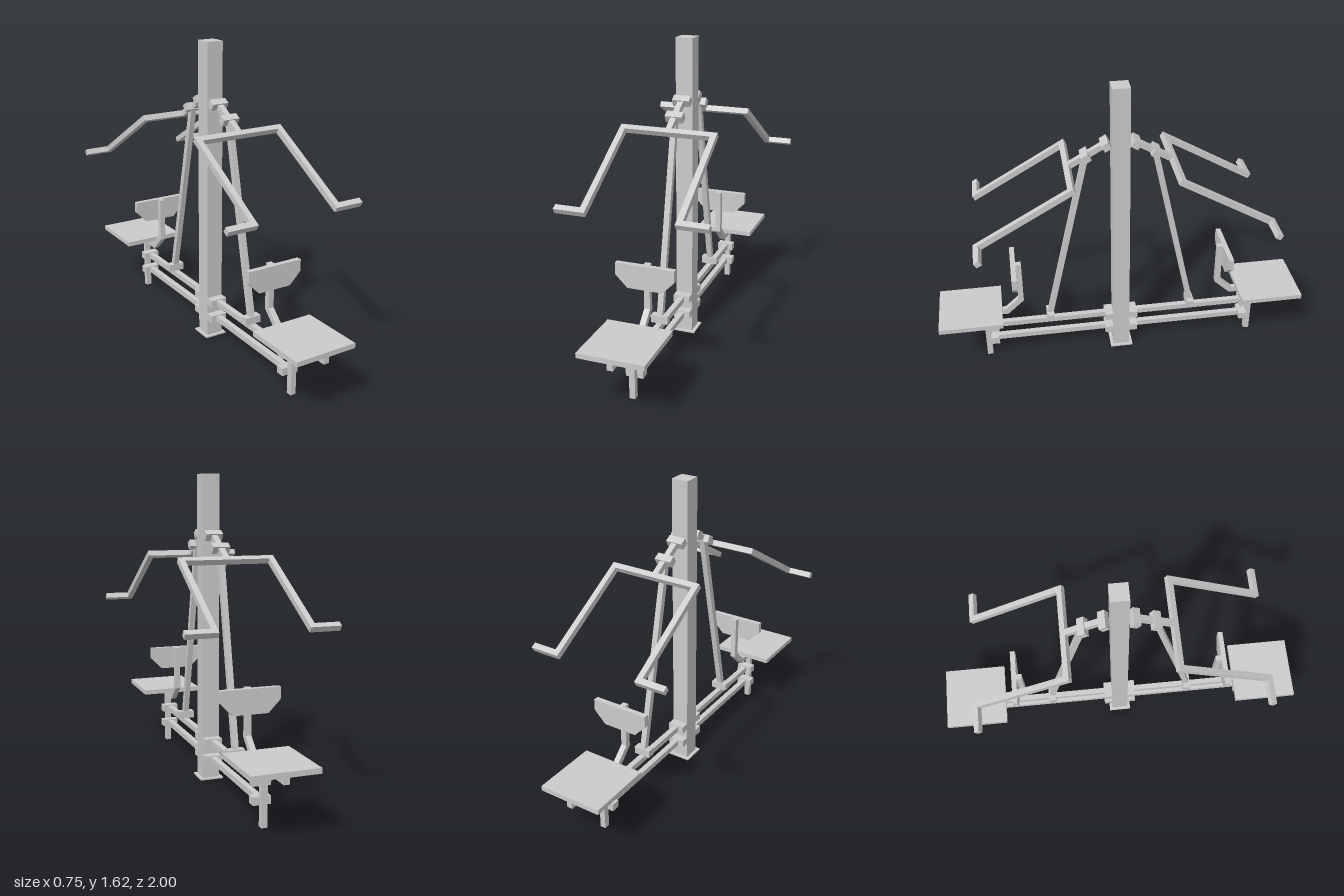
import * as THREE from 'three';

const material = new THREE.MeshStandardMaterial({ color: 0xcccccc, flatShading: true });
const TUBE = 0.03; // side of the square tubing

function add(parent, name, geometry) {
  const mesh = new THREE.Mesh(geometry, material);
  mesh.name = name;
  parent.add(mesh);
  return mesh;
}

// Box given by its extents along each axis
function box(parent, name, [x0, x1], [y0, y1], [z0, z1]) {
  const mesh = add(parent, name, new THREE.BoxGeometry(x1 - x0, y1 - y0, z1 - z0));
  mesh.position.set((x0 + x1) / 2, (y0 + y1) / 2, (z0 + z1) / 2);
  return mesh;
}

// Square tube running in the y-z plane between two [y, z] points
function rod(parent, name, [ya, za], [yb, zb], x = 0) {
  const dy = yb - ya, dz = zb - za;
  const mesh = add(parent, name, new THREE.BoxGeometry(TUBE, TUBE, Math.hypot(dy, dz)));
  mesh.position.set(x, (ya + yb) / 2, (za + zb) / 2);
  mesh.rotation.x = -Math.atan2(dy, dz);
  return mesh;
}

// Cross-wise block centred at [y, z], tilted about x
function block(parent, name, [y, z], tilt, x0, x1, size) {
  const mesh = add(parent, name, new THREE.BoxGeometry(x1 - x0, size, size));
  mesh.position.set((x0 + x1) / 2, y, z);
  mesh.rotation.x = tilt;
  return mesh;
}

function createStation() {
  const station = new THREE.Group();
  const half = TUBE / 2;

  // Two floor rails with brackets at both ends
  for (const y of [0.12, 0.212]) {
    rod(station, 'baseRail', [y, 0.045], [y, 0.737]);
    for (const z of [0.045, 0.69])
      box(station, 'railBracket', [-0.045, 0.045], [y - 0.02, y + 0.02], [z, z + 0.046]);
  }

  // Seat on its post
  box(station, 'seatPost', [-half, half], [0, 0.286], [0.735, 0.766]);
  box(station, 'seat', [-0.168, 0.168], [0.316, 0.342], [0.66, 1]);

  // Bent tube under the seat that rises to the backrest; shape x is z, shape y is y
  const frame = new THREE.Shape([
    [1, 0.285], [1, 0.316], [0.64, 0.316], [0.568, 0.383], [0.568, 0.615],
    [0.538, 0.615], [0.538, 0.37], [0.627, 0.285],
  ].map(([z, y]) => new THREE.Vector2(z, y)));
  const frameGeometry = new THREE.ExtrudeGeometry(frame, { depth: TUBE, bevelEnabled: false });
  frameGeometry.translate(0, 0, -half).rotateY(-Math.PI / 2);
  add(station, 'seatFrame', frameGeometry);

  // Backrest pad with clipped lower corners
  const pad = new THREE.Shape([
    [-0.09, 0.492], [0.09, 0.492], [0.152, 0.555], [0.152, 0.616], [-0.152, 0.616], [-0.152, 0.555],
  ].map(([x, y]) => new THREE.Vector2(x, y)));
  const padGeometry = new THREE.ExtrudeGeometry(pad, { depth: 0.027, bevelEnabled: false });
  add(station, 'backrest', padGeometry.translate(0, 0, 0.568));

  // Sloping press arm: points along its centre line as [y, z]
  const pivot = [1.305, 0.075], joint = [1.246, 0.177], cross = [1.191, 0.27], grip = [0.914, 0.743];
  const tilt = Math.atan2(pivot[0] - grip[0], grip[1] - pivot[1]);
  block(station, 'armPivotBracket', pivot, tilt, -0.045, 0.045, 0.04);
  block(station, 'linkBracket', joint, tilt, -0.045, 0.045, 0.04);
  rod(station, 'armStem', pivot, cross);
  block(station, 'armCrossbar', cross, tilt, -0.25, 0.25, TUBE);
  for (const side of [-1, 1]) {
    rod(station, 'armSide', cross, grip, side * 0.235);
    const ends = [side * 0.22, side * 0.377].sort((a, b) => a - b);
    block(station, 'handle', grip, tilt, ends[0], ends[1], TUBE);
  }

  // Link rod from the arm down to the upper rail
  rod(station, 'linkRod', joint, [0.25, 0.398]);
  box(station, 'linkFoot', [-0.045, 0.045], [0.228, 0.268], [0.376, 0.417]);
  return station;
}

export function createModel() {
  const model = new THREE.Group();
  model.name = 'doubleExerciseMachine';
  box(model, 'basePlate', [-0.062, 0.062], [0, 0.008], [-0.062, 0.062]);
  box(model, 'column', [-0.045, 0.045], [0.008, 1.616], [-0.045, 0.045]);

  // The same station on both sides of the column
  ['frontStation', 'backStation'].forEach((name, i) => {
    const station = createStation();
    station.name = name;
    station.rotation.y = i * Math.PI;
    model.add(station);
  });
  return model;
}
